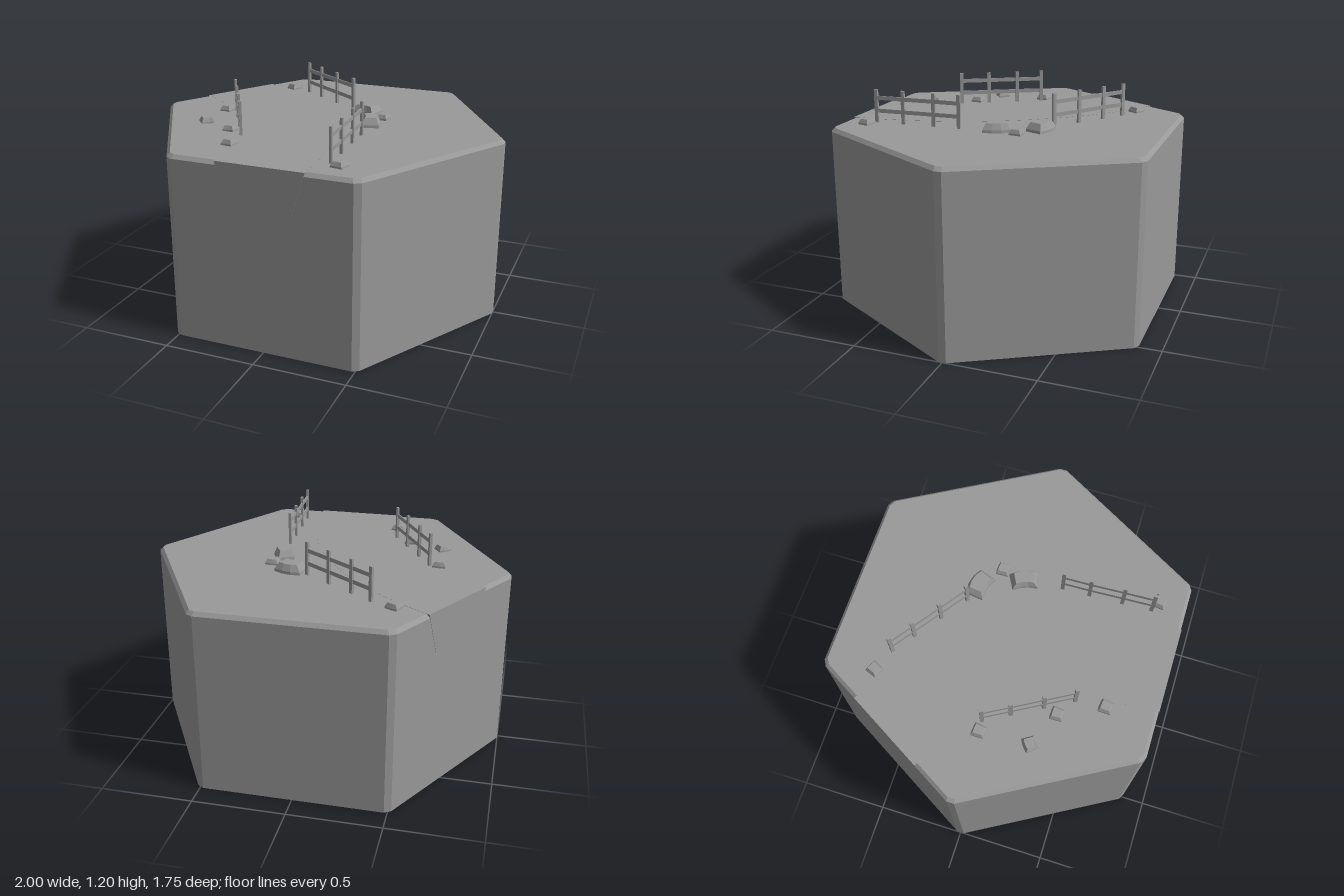
import * as THREE from 'three';

const material = new THREE.MeshStandardMaterial({ color: 0x999999, flatShading: true });
const TOP = 1.01;

// Skins a list of closed rings ([x, y, z] points) and closes both ends.
// Rings run counter-clockwise seen from the last ring's end.
function loft(rings) {
  const pos = [];
  const tri = (...pts) => pts.forEach((p) => pos.push(...p));
  const n = rings[0].length;
  for (let i = 0; i < rings.length - 1; i++) {
    for (let j = 0; j < n; j++) {
      const k = (j + 1) % n;
      const [a, b, c, d] = [rings[i][j], rings[i][k], rings[i + 1][k], rings[i + 1][j]];
      tri(a, b, c);
      tri(a, c, d);
    }
  }
  const cap = (ring, flip) => {
    const mid = [0, 1, 2].map((q) => ring.reduce((s, p) => s + p[q], 0) / n);
    ring.forEach((p, j) => {
      const next = ring[(j + 1) % n];
      if (flip) tri(mid, next, p);
      else tri(mid, p, next);
    });
  };
  cap(rings[0], true);
  cap(rings[rings.length - 1], false);
  const g = new THREE.BufferGeometry();
  g.setAttribute('position', new THREE.Float32BufferAttribute(pos, 3));
  g.computeVertexNormals();
  return g;
}

function add(parent, name, geometry) {
  const mesh = new THREE.Mesh(geometry, material);
  mesh.name = name;
  parent.add(mesh);
  return mesh;
}

// Hexagonal ring with narrow cut corners
function hexRing(radius, y) {
  const ring = [];
  for (let k = 0; k < 6; k++) {
    for (const s of [-0.02, 0.02]) {
      const a = (k * Math.PI) / 3 + s;
      ring.push([radius * Math.cos(a), y, -radius * Math.sin(a)]);
    }
  }
  return ring;
}

// Curved road bed joining two faces of the tile, flush with the ground
function roadGeometry() {
  const apothem = 0.876, R = 1.517, steps = 16, e = 0.001;
  const section = [[-0.24, TOP + 0.001], [0.24, TOP + 0.001], [0.17, 0.78], [-0.17, 0.78]];
  const rings = [];
  for (let i = 0; i <= steps; i++) {
    const t = e - (i / steps) * (Math.PI / 3 + 2 * e);
    rings.push(section.map(([u, y]) => [-R + (R + u) * Math.cos(t), y, apothem + (R + u) * Math.sin(t)]));
  }
  return loft(rings);
}

// Bent block tapering to a smaller flat top
function rockGeometry(halfLength, halfDepth, height, bend) {
  const outline = [
    [-0.86, 0.95], [-0.3, 0.95 - bend * 0.8], [0.3, 0.95 - bend * 0.8], [0.86, 0.95],
    [1, -0.8], [0.35, -0.8 - bend], [-0.35, -0.8 - bend], [-1, -0.8],
  ];
  const ring = (s, y) => outline.map(([x, z]) => [x * halfLength * s, y, z * halfDepth * s]);
  return loft([ring(1, -0.01), ring(0.96, height * 0.3), ring(0.68, height)]);
}

// Posts at the given [x, z] spots with two rails between neighbours
function fence(name, spots) {
  const group = new THREE.Group();
  group.name = name;
  const first = spots[0], last = spots[spots.length - 1];
  const heading = -Math.atan2(last[1] - first[1], last[0] - first[0]);
  for (const [x, z] of spots) {
    const post = add(group, 'fencePost', new THREE.BoxGeometry(0.02, 0.2, 0.014));
    post.position.set(x, 1.095, z);
    post.rotation.y = heading;
  }
  for (let i = 0; i < spots.length - 1; i++) {
    const [x0, z0] = spots[i], [x1, z1] = spots[i + 1];
    for (const y of [1.076, 1.148]) {
      const rail = add(group, 'fenceRail', new THREE.BoxGeometry(Math.hypot(x1 - x0, z1 - z0), 0.022, 0.007));
      rail.position.set((x0 + x1) / 2, y, (z0 + z1) / 2);
      rail.rotation.y = -Math.atan2(z1 - z0, x1 - x0);
    }
  }
  return group;
}

export function createModel() {
  const model = new THREE.Group();
  model.name = 'roadTile';

  add(model, 'hexBase', loft([hexRing(1, 0), hexRing(1, 0.99), hexRing(0.98, TOP)]));
  add(model, 'curvedRoad', roadGeometry());

  model.add(
    fence('backFence', [[-0.335, -0.545], [-0.22, -0.462], [-0.08, -0.362], [0.06, -0.262]]),
    fence('innerFence', [[-0.555, 0.022], [-0.48, 0.152], [-0.393, 0.303], [-0.31, 0.447]]),
    fence('outerFence', [[0.28, 0.207], [0.284, 0.355], [0.293, 0.535], [0.3, 0.695]])
  );

  // Rocks: x, z, turn in plan, half length, half depth, height, bend
  const rocks = [
    [0.16, -0.222, 0.25, 0.08, 0.058, 0.05, 0.25],
    [0.257, -0.003, 1.2, 0.08, 0.053, 0.05, 0.25],
    [0.287, -0.132, 0.05, 0.037, 0.039, 0.03, 0.06],
    [-0.46, -0.6, 0.45, 0.037, 0.039, 0.03, 0.06],
    [-0.612, 0.022, 0.08, 0.037, 0.039, 0.03, 0.06],
    [-0.6, 0.29, -0.65, 0.04, 0.039, 0.03, 0.12],
    [-0.407, 0.377, 0.04, 0.037, 0.039, 0.03, 0.06],
    [-0.295, 0.605, 0.1, 0.037, 0.039, 0.03, 0.06],
    [0.357, 0.727, 0.2, 0.039, 0.039, 0.03, 0.06],
  ];
  for (const [x, z, turn, length, depth, height, bend] of rocks) {
    const rock = add(model, 'rock', rockGeometry(length, depth, height, bend));
    rock.position.set(x, TOP, z);
    rock.rotation.y = -turn;
  }
  return model;
}
